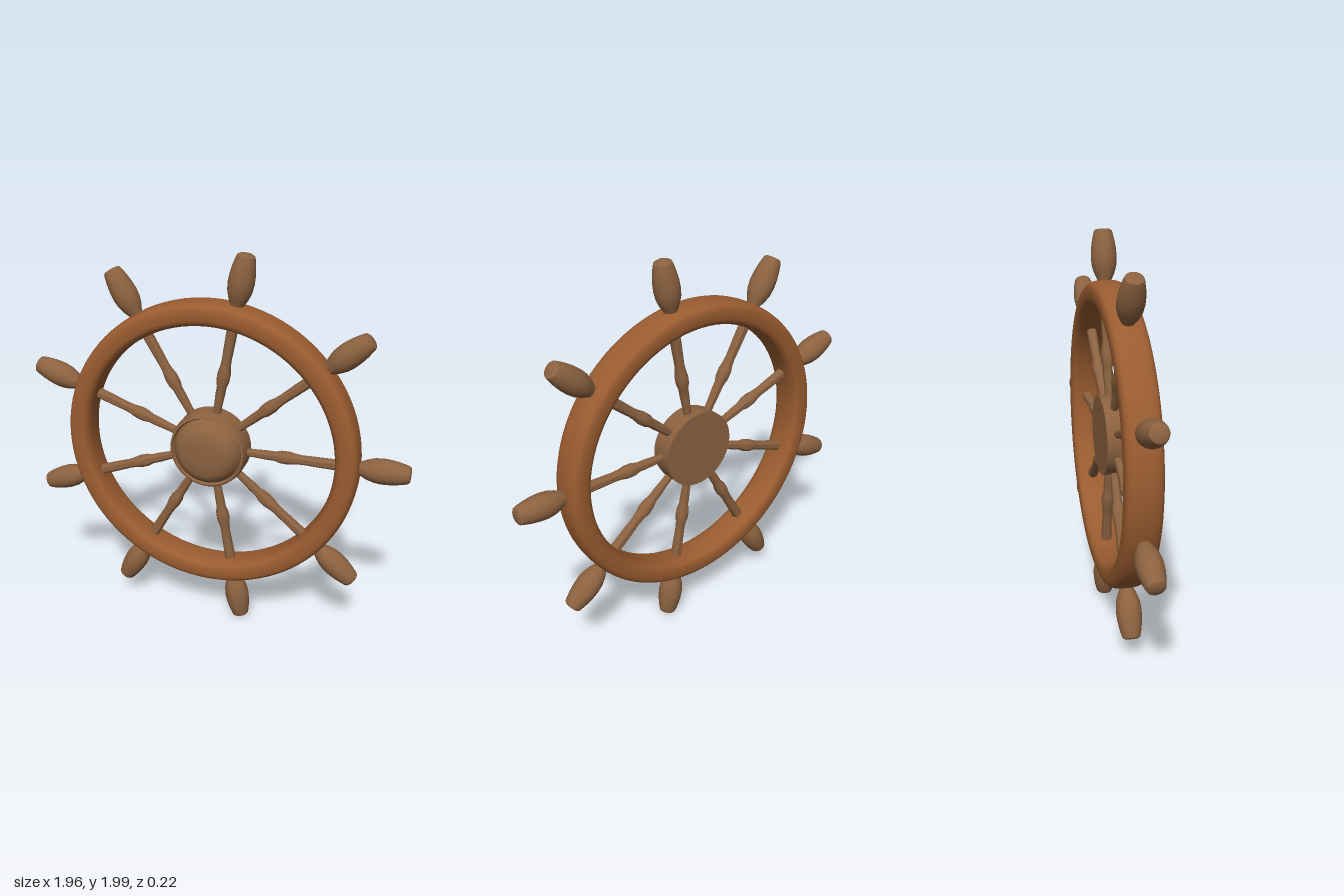
import * as THREE from 'three';
import { toCreasedNormals } from 'three/addons/utils/BufferGeometryUtils.js';

const SPOKES = 9;

// Turned part from [radius, height] pairs, ascending in height
function turned(points, segments, crease = 0.6) {
  const profile = points.map(([r, h]) => new THREE.Vector2(r, h));
  return toCreasedNormals(new THREE.LatheGeometry(profile, segments), crease);
}

export function createModel() {
  const model = new THREE.Group();
  model.name = 'shipWheel';
  const rimWood = new THREE.MeshStandardMaterial({ color: 0x9a5c30 });
  const turnedWood = new THREE.MeshStandardMaterial({ color: 0x8c6240 });

  function add(parent, name, geometry, material) {
    const mesh = new THREE.Mesh(geometry, material);
    mesh.name = name;
    parent.add(mesh);
    return mesh;
  }

  const wheel = new THREE.Group();
  wheel.name = 'wheel';
  wheel.position.set(-0.02, 1.01, -0.02);
  model.add(wheel);

  // Rim: rounded-rectangular section swept round the axis
  const section = [];
  const soften = (v) => Math.sign(v) * Math.pow(Math.abs(v), 0.66);
  for (let i = 0; i <= 28; i++) {
    const t = Math.PI + (i / 28) * Math.PI * 2;
    section.push(new THREE.Vector2(0.705 + 0.06 * soften(Math.cos(t)), 0.087 * soften(Math.sin(t))));
  }
  const rim = add(wheel, 'rim', new THREE.LatheGeometry(section, 96), rimWood);
  rim.rotation.x = Math.PI / 2;

  // Hub: drum with a grooved lip and a raised domed boss on the front
  const hub = add(wheel, 'hub', turned([
    [0, -0.055], [0.2, -0.055], [0.2, 0.035], [0.193, 0.065], [0.183, 0.07],
    [0.175, 0.055], [0.168, 0.07], [0.155, 0.09], [0.135, 0.112],
    [0.11, 0.124], [0.06, 0.128], [0, 0.128],
  ], 64), turnedWood);
  hub.rotation.x = Math.PI / 2;

  // Spokes with a turned swelling, and handles outside the rim
  const spokeGeometry = turned([
    [0.02, 0.16], [0.021, 0.24], [0.024, 0.3], [0.024, 0.34], [0.032, 0.37],
    [0.033, 0.41], [0.026, 0.45], [0.024, 0.48], [0.026, 0.56], [0.028, 0.7],
  ], 20, 1);
  const handleGeometry = turned([
    [0.026, 0.72], [0.034, 0.765], [0.048, 0.795], [0.059, 0.83], [0.063, 0.87],
    [0.061, 0.91], [0.055, 0.95], [0.047, 0.985], [0.042, 1.0], [0.032, 1.006], [0, 1.008],
  ], 28, 0.7);

  for (let i = 0; i < SPOKES; i++) {
    const arm = new THREE.Group();
    arm.name = `arm${i + 1}`;
    arm.rotation.z = (i / SPOKES) * Math.PI * 2 - Math.PI / 2;
    add(arm, 'spoke', spokeGeometry, turnedWood);
    add(arm, 'handle', handleGeometry, turnedWood);
    wheel.add(arm);
  }
  return model;
}
